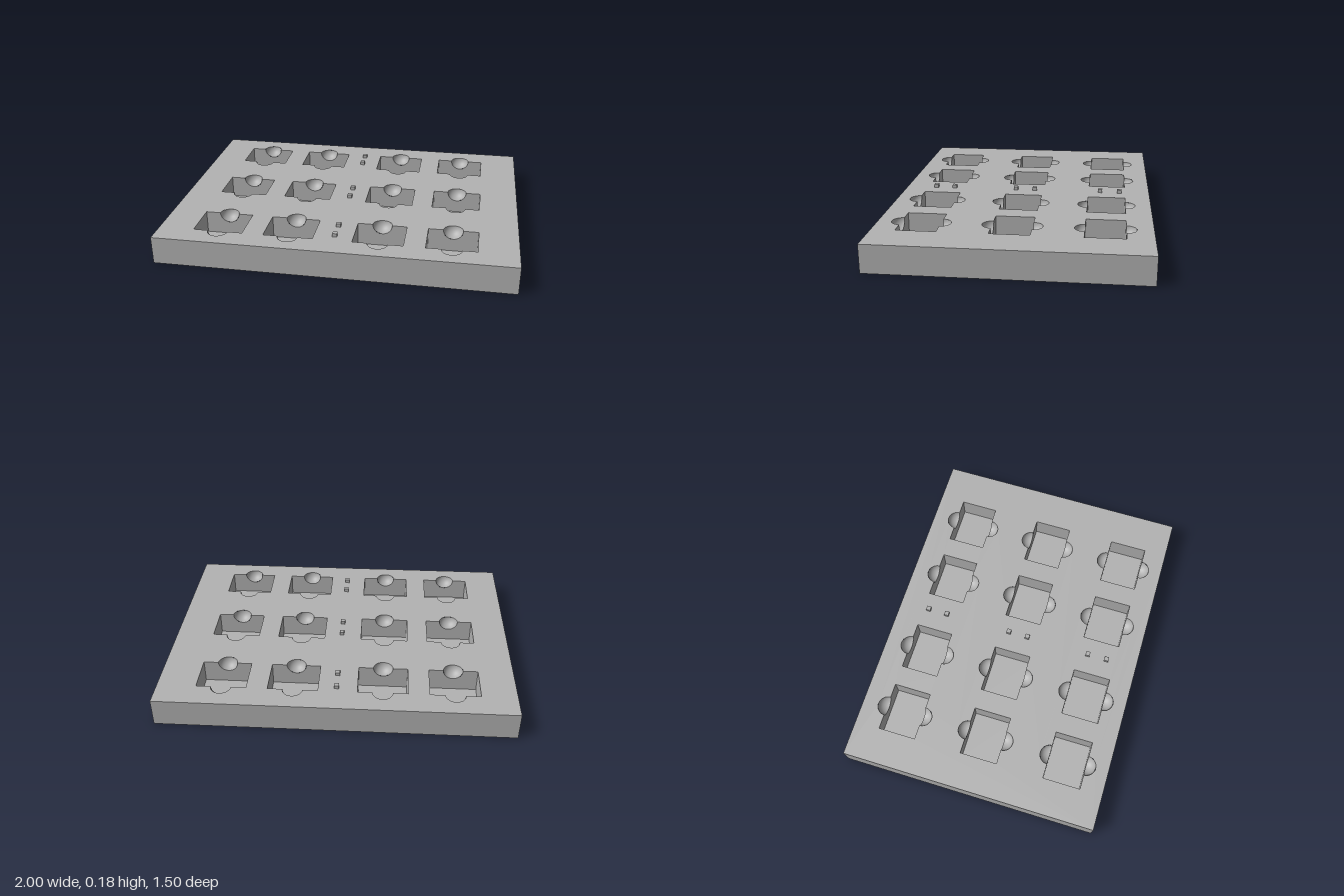
import * as THREE from 'three';
import { mergeGeometries } from 'three/addons/utils/BufferGeometryUtils.js';

const WIDTH = 2, DEPTH = 1.5, TOP = 0.16;
const POCKET = { w: 0.28, l: 0.22, d: 0.13 };
const SCOOP = 0.056, SEGMENTS = 16;
const COLUMNS = [-0.66, -0.26, 0.24, 0.64];
const ROWS = [-0.493, 0.008, 0.508];
const PEG_ROWS = [-0.57, -0.453, -0.051, 0.066, 0.45, 0.566];

// Turn a surface inside out, so that hollows show from within
function flip(geometry) {
  geometry.index.array.reverse();
  const n = geometry.attributes.normal;
  for (let i = 0; i < n.array.length; i++) n.array[i] *= -1;
  return geometry;
}

// Box that keeps only the listed sides (0 +x, 1 -x, 2 +y, 3 -y, 4 +z, 5 -z)
function openBox(w, h, l, sides) {
  const box = new THREE.BoxGeometry(w, h, l);
  const all = Array.from(box.index.array);
  box.setIndex(sides.flatMap((s) => all.slice(s * 6, s * 6 + 6)));
  box.clearGroups();
  return box;
}

// Pocket outline with a half-round bulge on its front and back edges
function pocketOutline(cx, cy) {
  const x = POCKET.w / 2, y = POCKET.l / 2;
  const path = new THREE.Path();
  path.moveTo(cx - x, cy - y);
  path.lineTo(cx - SCOOP, cy - y);
  path.absarc(cx, cy - y, SCOOP, Math.PI, 2 * Math.PI, false);
  path.lineTo(cx + x, cy - y);
  path.lineTo(cx + x, cy + y);
  path.lineTo(cx + SCOOP, cy + y);
  path.absarc(cx, cy + y, SCOOP, 0, Math.PI, false);
  path.lineTo(cx - x, cy + y);
  path.closePath();
  return path;
}

// Top sheet with a hole for every pocket
function topSheet() {
  const shape = new THREE.Shape();
  shape.moveTo(-WIDTH / 2, -DEPTH / 2);
  shape.lineTo(WIDTH / 2, -DEPTH / 2);
  shape.lineTo(WIDTH / 2, DEPTH / 2);
  shape.lineTo(-WIDTH / 2, DEPTH / 2);
  shape.closePath();
  for (const z of ROWS) for (const x of COLUMNS) shape.holes.push(pocketOutline(x, -z));
  return new THREE.ShapeGeometry(shape, SEGMENTS).rotateX(-Math.PI / 2).translate(0, TOP, 0);
}

// Pocket wall with a half-round notch in its upper edge
function notchedWall() {
  const x = POCKET.w / 2;
  const shape = new THREE.Shape();
  shape.moveTo(-x, -POCKET.d);
  shape.lineTo(x, -POCKET.d);
  shape.lineTo(x, 0);
  shape.lineTo(SCOOP, 0);
  shape.absarc(0, 0, SCOOP, 0, -Math.PI, true);
  shape.lineTo(-x, 0);
  shape.closePath();
  return new THREE.ShapeGeometry(shape, SEGMENTS).translate(0, 0, -POCKET.l / 2);
}

// Quarter-sphere finger hollow behind the front wall
function fingerScoop() {
  const ball = new THREE.SphereGeometry(SCOOP, SEGMENTS, SEGMENTS / 2, 0, Math.PI, Math.PI / 2, Math.PI / 2);
  return flip(ball).translate(0, 0, POCKET.l / 2);
}

export function createModel() {
  const grey = new THREE.MeshStandardMaterial({ color: 0xb2b2b2 });
  grey.name = 'plain grey';
  const model = new THREE.Group();
  model.name = 'pocketTray';

  const add = (name, geometry, x = 0, y = 0, z = 0) => {
    const mesh = new THREE.Mesh(geometry, grey);
    mesh.name = name;
    mesh.position.set(x, y, z);
    model.add(mesh);
  };

  // Board
  add('boardSides', openBox(WIDTH, TOP, DEPTH, [0, 1, 3, 4, 5]), 0, TOP / 2, 0);
  add('boardTop', topSheet());

  // Pockets: floor and side walls, notched walls, finger scoops
  const floorAndSides = flip(openBox(POCKET.w, POCKET.d, POCKET.l, [0, 1, 3])).translate(0, -POCKET.d / 2, 0);
  const pocket = mergeGeometries([
    floorAndSides,
    notchedWall(), notchedWall().rotateY(Math.PI),
    fingerScoop(), fingerScoop().rotateY(Math.PI),
  ]);
  for (const z of ROWS) for (const x of COLUMNS) add('pocket', pocket, x, TOP, z);

  // Small pegs along the middle
  const peg = new THREE.BoxGeometry(0.026, 0.02, 0.026);
  for (const z of PEG_ROWS) add('peg', peg, -0.003, TOP + 0.01, z);

  return model;
}
